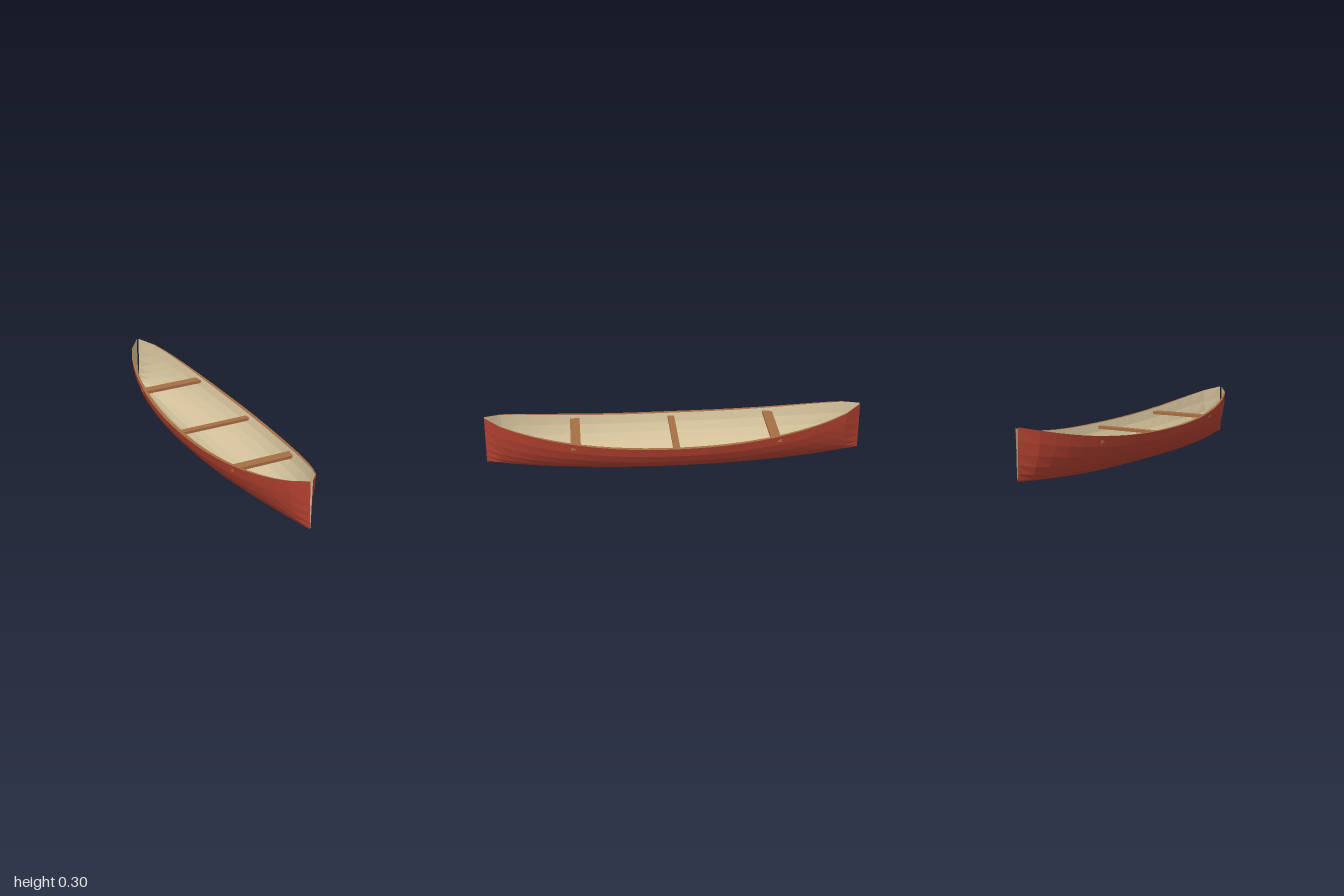
import * as THREE from 'three';

const STATIONS = 24;
// Half cross-section from keel to gunwale: [share of beam, share of depth]
const HALF = [[0, 0], [0.233, 0.034], [0.44, 0.134], [0.64, 0.293], [0.81, 0.5], [0.936, 0.741], [1, 1]];
const SECTION = [...HALF.slice(1).reverse().map(([x, y]) => [-x, y]), ...HALF];

const beam = z => Math.max(0.006, 0.226 * Math.pow(Math.max(0, 1 - z * z), 0.6));
const sheer = z => 0.19 + 0.115 * Math.pow(Math.abs(z), 2.3);
const keel = z => 0.002 + 0.043 * Math.pow(Math.abs(z), 3);

// Point on the hull shell; the inner shell is narrower with a raised floor
function shellPoint(z, [sx, sy], inner) {
  const w = beam(z);
  const bottom = keel(z) + (inner ? 0.055 * w : 0);
  return [sx * w * (inner ? 0.91 : 1), bottom + sy * (sheer(z) - bottom), z];
}

// Faceted surface through rows of points running along z
function loft(rowAt, flip) {
  const rows = [];
  for (let i = 0; i <= STATIONS; i++) rows.push(rowAt(-1 + (2 * i) / STATIONS));
  const pos = [];
  for (let i = 0; i < STATIONS; i++) {
    for (let j = 0; j < rows[0].length - 1; j++) {
      const a = rows[i][j], b = rows[i + 1][j], c = rows[i + 1][j + 1], d = rows[i][j + 1];
      pos.push(...(flip ? [a, c, b, a, d, c] : [a, b, c, a, c, d]).flat());
    }
  }
  const g = new THREE.BufferGeometry();
  g.setAttribute('position', new THREE.Float32BufferAttribute(pos, 3));
  g.computeVertexNormals();
  return g;
}

export function createModel() {
  const red = new THREE.MeshStandardMaterial({ color: 0xb0402f });
  red.name = 'hull red';
  const cream = new THREE.MeshStandardMaterial({ color: 0xd2c09a });
  cream.name = 'interior cream';
  const wood = new THREE.MeshStandardMaterial({ color: 0xa66e44 });
  wood.name = 'wood brown';

  const group = new THREE.Group();
  group.name = 'canoe';
  const add = (name, geometry, material) => {
    const mesh = new THREE.Mesh(geometry, material);
    mesh.name = name;
    group.add(mesh);
    return mesh;
  };

  // Outer and inner shells, open at both stems
  add('outerHull', loft(z => SECTION.map(p => shellPoint(z, p, false)), true), red);
  add('innerHull', loft(z => SECTION.map(p => shellPoint(z, p, true)), false), cream);

  // Gunwales capping the gap between the shells
  for (const s of [1, -1]) {
    const edge = z => [shellPoint(z, [s, 1], true), shellPoint(z, [s, 1], false)];
    add(s > 0 ? 'leftGunwale' : 'rightGunwale', loft(edge, s < 0), wood);
  }

  // Centre thwart and the two seats
  add('thwart', new THREE.BoxGeometry(0.41, 0.015, 0.035), wood).position.set(0, 0.167, 0);
  for (const s of [1, -1]) {
    add(s > 0 ? 'frontSeat' : 'rearSeat', new THREE.BoxGeometry(0.358, 0.016, 0.052), wood)
      .position.set(0, 0.191, s * 0.526);
  }
  return group;
}
